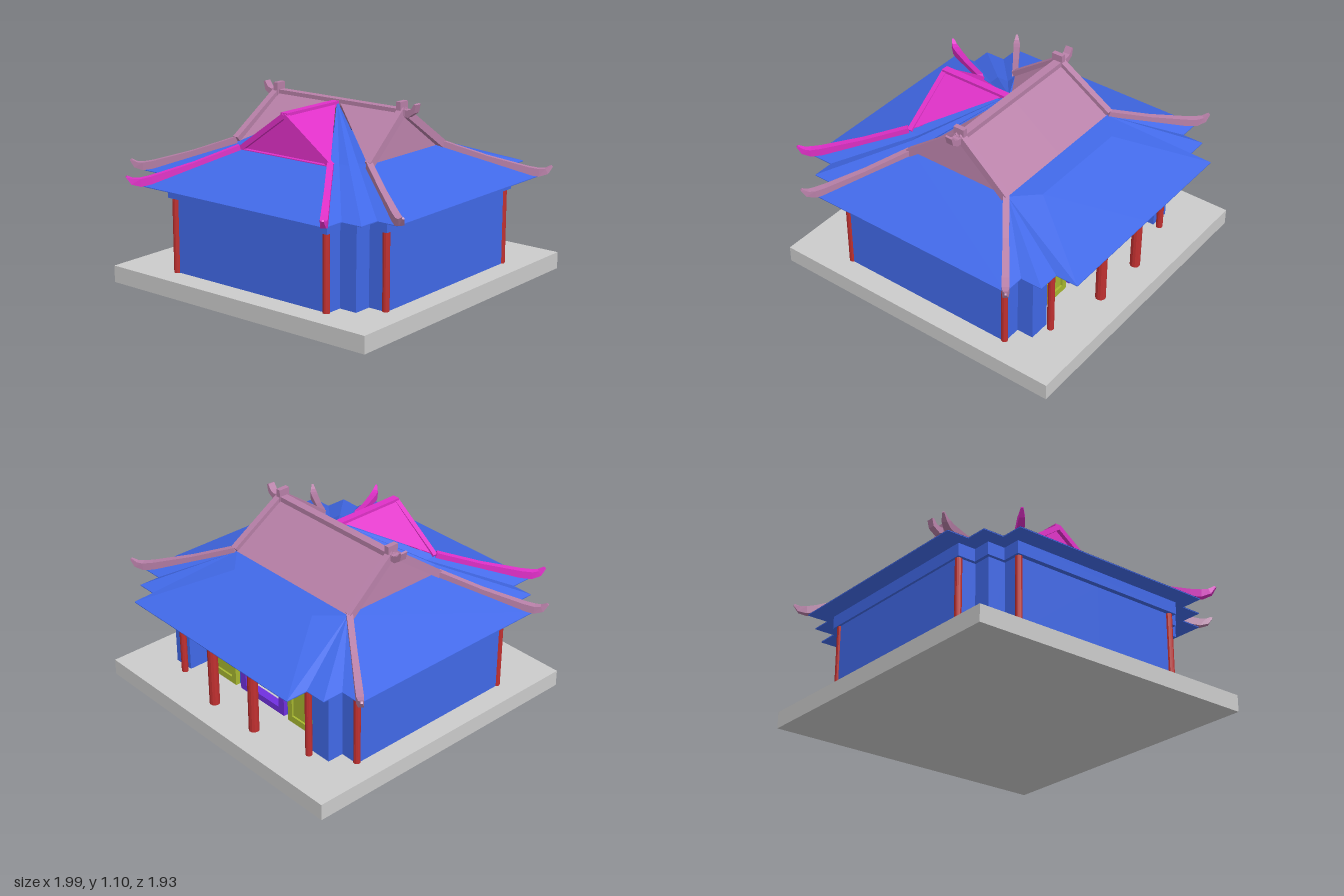
import * as THREE from 'three';

const mat = (color) => new THREE.MeshStandardMaterial({ color, flatShading: true, side: THREE.DoubleSide });
const V = (p) => new THREE.Vector3(...p);

export function createModel() {
  const root = new THREE.Group();
  const stone = mat(0xcccccc), blue = mat(0x4169e8), red = mat(0xc03030), mauve = mat(0xb880a8);
  const magenta = mat(0xe030c8), green = mat(0xa8b830), purple = mat(0x7030e0);

  const add = (name, geo, material, x = 0, y = 0, z = 0) => {
    const m = new THREE.Mesh(geo, material);
    m.name = name;
    m.position.set(x, y, z);
    root.add(m);
    return m;
  };

  // Sheet made of polygons; s = -1 mirrors it across x = 0
  const sheet = (name, polys, material, s = 1) => {
    const pos = [];
    for (const poly of polys) {
      const p = poly.map(([x, y, z]) => [x * s, y, z]);
      if (s < 0) p.reverse();
      for (let i = 1; i < p.length - 1; i++) pos.push(...p[0], ...p[i], ...p[i + 1]);
    }
    const g = new THREE.BufferGeometry();
    g.setAttribute('position', new THREE.Float32BufferAttribute(pos, 3));
    g.computeVertexNormals();
    return add(name, g, material);
  };

  // Square bar swept along points, with width and height per point
  const bar = (name, points, sizes, material, side) => {
    const pts = points.map(V), pos = [];
    const rings = pts.map((p, i) => {
      const d = pts[Math.min(i + 1, pts.length - 1)].clone().sub(pts[Math.max(i - 1, 0)]).normalize();
      const r = side ? V(side) : d.clone().cross(V([0, 1, 0])).normalize();
      const u = r.clone().cross(d).normalize();
      const [w, h] = sizes[Math.min(i, sizes.length - 1)];
      return [[-1, -1], [1, -1], [1, 1], [-1, 1]].map(([a, b]) =>
        p.clone().addScaledVector(r, a * w / 2).addScaledVector(u, b * h / 2));
    });
    const quad = (a, b, c, d) => [a, b, c, a, c, d].forEach((v) => pos.push(v.x, v.y, v.z));
    for (let i = 0; i < rings.length - 1; i++)
      for (let k = 0; k < 4; k++) {
        const n = (k + 1) % 4;
        quad(rings[i][k], rings[i][n], rings[i + 1][n], rings[i + 1][k]);
      }
    quad(...rings[0].slice().reverse());
    quad(...rings[rings.length - 1]);
    const g = new THREE.BufferGeometry();
    g.setAttribute('position', new THREE.Float32BufferAttribute(pos, 3));
    g.computeVertexNormals();
    return add(name, g, material);
  };

  // Horizontal slab from the +x half of a plan outline (x, z)
  const slab = (name, half, y, h, material) => {
    const all = [...half, ...half.map(([x, z]) => [-x, z]).reverse()];
    const s = new THREE.Shape(all.map(([x, z]) => new THREE.Vector2(x, -z)));
    const g = new THREE.ExtrudeGeometry(s, { depth: h, bevelEnabled: false }).rotateX(-Math.PI / 2);
    return add(name, g, material, 0, y, 0);
  };

  // Upright rectangle with a rectangular opening
  const frame = (name, w, h, hole, depth, material, x, y, z) => {
    const rect = (C, x0, y0, x1, y1) => new C([[x0, y0], [x1, y0], [x1, y1], [x0, y1]].map((p) => new THREE.Vector2(...p)));
    const s = rect(THREE.Shape, -w / 2, 0, w / 2, h);
    s.holes.push(rect(THREE.Path, ...hole));
    return add(name, new THREE.ExtrudeGeometry(s, { depth, bevelEnabled: false }), material, x, y, z);
  };

  // Platform
  add('platform', new THREE.BoxGeometry(1.84, 0.1, 1.85), stone, 0, 0.05, -0.04);

  // Stepped walls, one box per straight run
  const wallPlan = [[0, 0.73], [0.55, 0.73], [0.55, 0.63], [0.66, 0.63], [0.66, 0.52], [0.775, 0.52],
    [0.775, -0.58], [0.66, -0.58], [0.66, -0.68], [0.55, -0.68], [0.55, -0.56]];
  for (const s of [1, -1])
    for (let i = 0; i < wallPlan.length - 1; i++) {
      const [ax, az] = wallPlan[i], [bx, bz] = wallPlan[i + 1];
      add('wall', new THREE.BoxGeometry(Math.abs(bx - ax) + 0.02, 0.44, Math.abs(bz - az) + 0.02),
        blue, s * (ax + bx) / 2, 0.32, (az + bz) / 2);
    }
  frame('backWall', 1.1, 0.44, [-0.17, 0.02, 0.17, 0.38], 0.02, blue, 0, 0.1, -0.57);

  // Doorway, open door leaves and panelled windows on the back
  frame('doorFrame', 0.38, 0.41, [-0.145, 0.04, 0.145, 0.37], 0.05, purple, 0, 0.1, -0.595);
  for (const s of [1, -1]) {
    add('doorLeaf', new THREE.BoxGeometry(0.02, 0.34, 0.12), red, s * 0.135, 0.3, -0.48);
    frame('windowFrame', 0.26, 0.41, [-0.095, 0.04, 0.095, 0.37], 0.04, green, s * 0.36, 0.1, -0.6);
    add('windowPanel', new THREE.BoxGeometry(0.2, 0.34, 0.015), green, s * 0.36, 0.305, -0.58);
  }

  // Columns
  const columns = [[0.55, 0.74, 0.02], [0.775, 0.52, 0.02], [0.775, -0.58, 0.02], [0.55, -0.725, 0.02], [0.175, -0.8, 0.03]];
  for (const s of [1, -1])
    for (const [x, z, r] of columns)
      add('column', new THREE.CylinderGeometry(r, r, 0.44, 12), red, s * x, 0.32, z);

  // Beam ring under the eaves, and the soffit
  slab('beam', [[0.58, 0.77], [0.58, 0.66], [0.69, 0.66], [0.69, 0.55], [0.8, 0.55], [0.8, -0.62],
    [0.69, -0.62], [0.69, -0.73], [0.58, -0.73], [0.58, -0.84]], 0.54, 0.075, blue);
  const frontEave = [[0.66, 0.62, 0.885], [0.66, 0.62, 0.75], [0.79, 0.62, 0.75], [0.79, 0.62, 0.62], [0.925, 0.62, 0.62]];
  const backEave = [[0.925, 0.62, -0.7], [0.79, 0.62, -0.7], [0.79, 0.62, -0.83], [0.66, 0.62, -0.83], [0.66, 0.62, -0.965]];
  slab('soffit', [...frontEave, ...backEave].map(([x, , z]) => [x, z]), 0.614, 0.004, blue);

  // Lower roof: stepped front fan, sides, back
  const apex = [0, 1.05, -0.02];
  const mid = [[0.33, 0.8, 0.44], [0.33, 0.8, 0.365], [0.4, 0.8, 0.365], [0.4, 0.8, 0.29], [0.47, 0.8, 0.29]];
  const backTop = [0.47, 0.8, -0.37], backMid = [0.33, 0.79, -0.5];
  for (const s of [1, -1]) {
    const polys = [[[0, 0.8, 0.44], [0, 0.62, 0.885], frontEave[0], mid[0]]];
    for (let i = 0; i < 4; i++) {
      polys.push([apex, mid[i], mid[i + 1]]);
      polys.push([mid[i], frontEave[i], frontEave[i + 1], mid[i + 1]]);
    }
    sheet('frontRoof', polys, blue, s);
    sheet('sideRoof', [[mid[4], frontEave[4], backEave[0], backTop]], blue, s);
    const back = [[backTop, backMid, [0, 0.79, -0.5], [0, 0.8, -0.37]],
      [backMid, backEave[4], [0, 0.62, -0.965], [0, 0.79, -0.5]], [backTop, backEave[4], backMid]];
    for (let i = 0; i < 4; i++) back.push([backTop, backEave[i], backEave[i + 1]]);
    sheet('backRoof', back, blue, s);
  }

  // Upper roofs: main gable across, smaller gable to the front
  const hip = (name, [x, y, z], [ex, ez], material) => {
    const path = [[0, 0], [0.4, -0.085], [0.78, -0.152], [0.88, -0.163], [0.95, -0.155], [1, -0.125]]
      .map(([t, dy]) => [x + (ex - x) * t, y + dy, z + (ez - z) * t]);
    bar(name, path, [[0.035, 0.04], [0.035, 0.04], [0.04, 0.045], [0.04, 0.045], [0.03, 0.035], [0.012, 0.012]], material);
  };
  for (const s of [1, -1]) {
    sheet('mainRoof', [[[0, 1.05, -0.035], [0.47, 0.8, 0.29], [0.45, 1.05, -0.035]],
      [[0, 1.05, -0.035], [0.45, 1.05, -0.035], backTop, [0, 0.8, -0.37]]], mauve, s);
    sheet('mainGable', [[[0.445, 1.05, -0.035], [0.465, 0.795, 0.3], [0.465, 0.795, -0.37]]], mauve, s);
    for (const z of [0.3, -0.37]) {
      bar('gableRidge', [[s * 0.455, 1.05, -0.035], [s * 0.485, 0.805, z]], [[0.04, 0.045]], mauve, [1, 0, 0]);
      hip('hipRidge', [s * 0.485, 0.805, z], [s * 0.99, z > 0 ? 0.665 : -0.75], mauve);
    }
    add('ridgePost', new THREE.BoxGeometry(0.03, 0.08, 0.07), mauve, s * 0.45, 1.06, -0.035);
    bar('ridgeHorn', [[s * 0.44, 1.04, -0.04], [s * 0.5, 1.035, -0.04], [s * 0.535, 1.055, -0.04], [s * 0.552, 1.095, -0.04]],
      [[0.045, 0.04], [0.045, 0.04], [0.045, 0.03], [0.045, 0.012]], mauve);

    sheet('frontGableRoof', [[[0, 1.05, -0.01], [0, 1.05, 0.44], [0.33, 0.805, 0.44]]], magenta, s);
    sheet('frontGable', [[[0, 1.04, 0.42], [0, 0.795, 0.42], [0.33, 0.795, 0.42]]], magenta, s);
    bar('frontGableRidge', [[0, 1.035, 0.43], [s * 0.33, 0.8, 0.43]], [[0.03, 0.03]], magenta, [0, 0, 1]);
    hip('frontHipRidge', [s * 0.33, 0.805, 0.44], [s * 0.71, 0.96], magenta);
  }
  add('mainRidge', new THREE.BoxGeometry(0.96, 0.035, 0.05), mauve, 0, 1.04, -0.04);
  add('frontRidge', new THREE.BoxGeometry(0.045, 0.03, 0.45), magenta, 0, 1.035, 0.215);
  add('frontGableSill', new THREE.BoxGeometry(0.66, 0.012, 0.03), magenta, 0, 0.797, 0.43);

  return root;
}
